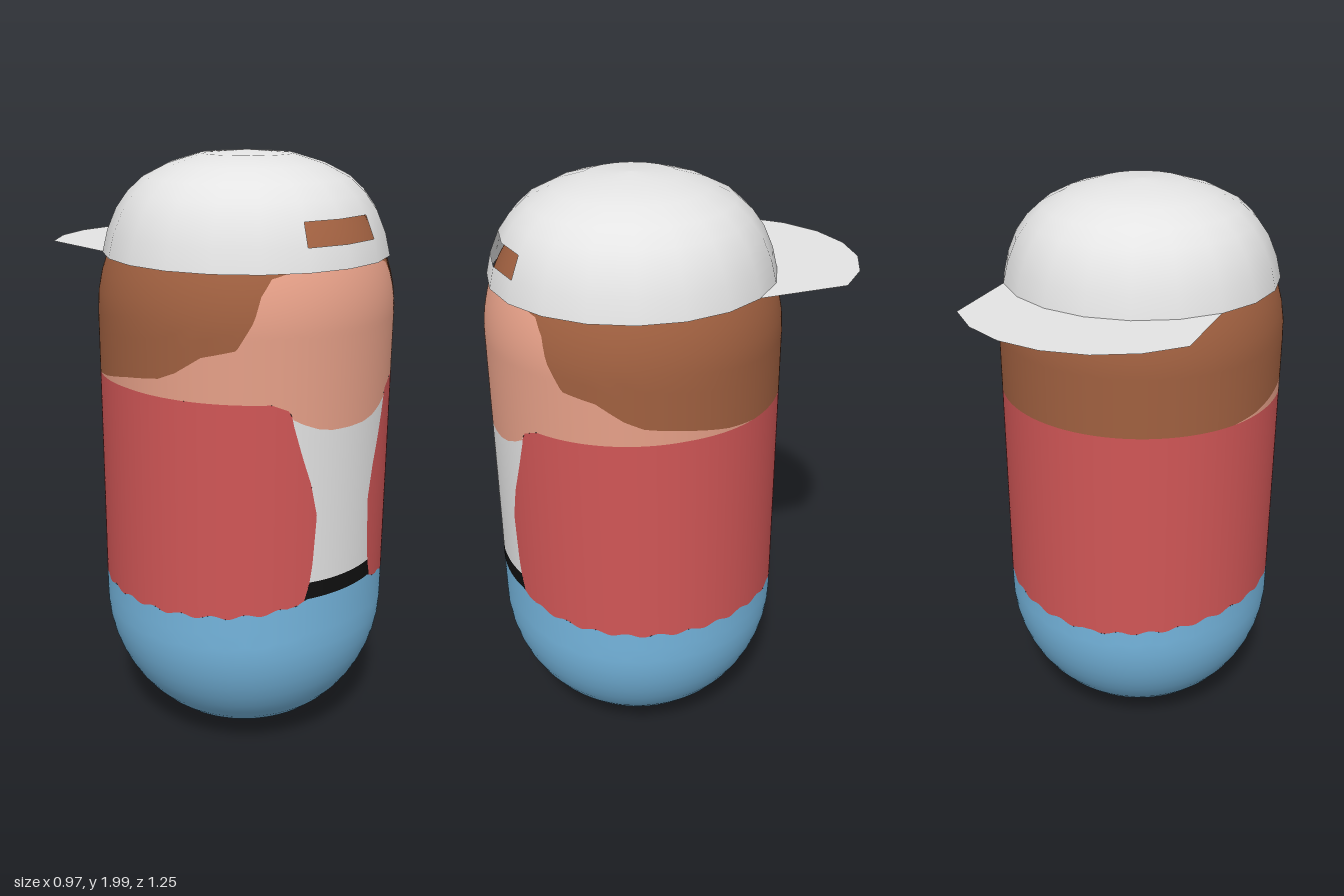
import * as THREE from 'three';

const R = 0.485, LOW = 0.495, HIGH = 1.5, CENTRE_Z = 0.137;
const mat = (name, color, side = THREE.FrontSide) => {
  const m = new THREE.MeshStandardMaterial({ color, side });
  m.name = name;
  return m;
};
const lerp = THREE.MathUtils.lerp;

// Piecewise linear curve through [x, y] points
const curve = (pts) => (x) => {
  if (x <= pts[0][0]) return pts[0][1];
  for (let i = 1; i < pts.length; i++) {
    const [x0, y0] = pts[i - 1], [x1, y1] = pts[i];
    if (x <= x1) return lerp(y0, y1, (x - x0) / (x1 - x0));
  }
  return pts[pts.length - 1][1];
};

// Mirrored height by angle from the front, in degrees
const around = (fn) => (deg) => {
  const d = Math.abs(deg) % 360;
  return fn(d > 180 ? 360 - d : d);
};

// Boundaries between the clothing areas
const hemBase = curve([[0, 0.648], [17, 0.648], [21, 0.63], [31, 0.615], [46, 0.6], [70, 0.588], [120, 0.578], [155, 0.553], [180, 0.54]]);
const hem = around((d) => hemBase(d) + (d > 24 ? 0.006 * Math.sin(d * 0.5) : 0));
const neckline = around(curve([[0, 1.2], [8, 1.202], [14, 1.212], [20, 1.232], [24, 1.25], [25.5, 1.278], [32, 1.3], [90, 1.305], [120, 1.3]]));
const hairline = around(curve([[0, 1.692], [24, 1.685], [32, 1.668], [36, 1.62], [38.5, 1.55], [44.5, 1.465], [57, 1.44], [67, 1.385], [74, 1.36], [90, 1.34], [107, 1.312], [120, 1.3]]));
const opening = curve([[0, 18], [0.08, 16.2], [0.2, 15], [0.5, 13.7], [0.68, 16.5], [0.84, 20.5], [1, 24.5]]);

// Patch of the capsule body; map(u, v) gives [angle in degrees, height]
function patch(name, material, cols, rows, map) {
  const pos = [], nor = [], idx = [];
  for (let j = 0; j <= rows; j++) {
    for (let i = 0; i <= cols; i++) {
      const [deg, y] = map(i / cols, j / rows);
      const a = THREE.MathUtils.degToRad(deg);
      const dy = y - THREE.MathUtils.clamp(y, LOW, HIGH);
      const r = Math.sqrt(Math.max(0, R * R - dy * dy));
      pos.push(r * Math.sin(a), y, r * Math.cos(a) + CENTRE_Z);
      nor.push(r * Math.sin(a) / R, dy / R, r * Math.cos(a) / R);
      if (i < cols && j < rows) {
        const p = j * (cols + 1) + i, q = p + cols + 1;
        idx.push(p, p + 1, q, p + 1, q + 1, q);
      }
    }
  }
  const g = new THREE.BufferGeometry();
  g.setAttribute('position', new THREE.Float32BufferAttribute(pos, 3));
  g.setAttribute('normal', new THREE.Float32BufferAttribute(nor, 3));
  g.setIndex(idx);
  const mesh = new THREE.Mesh(g, material);
  mesh.name = name;
  return mesh;
}

export function createModel() {
  const white = mat('white', 0xe4e4e4, THREE.DoubleSide);
  const red = mat('red', 0xd05656);
  const blue = mat('blue', 0x74b4dc);
  const skin = mat('skin', 0xe6a088);
  const brown = mat('brown', 0xa06040);
  const black = mat('black', 0x101010);
  const model = new THREE.Group();
  model.name = 'capsuleFigure';

  // Capsule body, split into clothing, face and hair
  model.add(patch('trousers', blue, 240, 16, (u, v) => {
    const d = u * 360;
    return [d, lerp(LOW - R, hem(d), 1 - Math.cos(v * Math.PI / 2))];
  }));
  model.add(patch('jacket', red, 240, 32, (u, v) => {
    const d = lerp(opening(v), 360 - opening(v), u);
    return [d, lerp(hem(d), neckline(d), v)];
  }));
  const front = (v0, v1) => (u, t) => {
    const v = lerp(v0, v1, t), d = lerp(-opening(v), opening(v), u);
    return [d, lerp(hem(d), neckline(d), v)];
  };
  model.add(patch('belt', black, 24, 4, front(0, 0.1)));
  model.add(patch('shirt', white, 24, 30, front(0.1, 1)));
  model.add(patch('face', skin, 240, 24, (u, v) => {
    const d = lerp(-120, 120, u);
    return [d, lerp(neckline(d), hairline(d), v)];
  }));
  model.add(patch('hair', brown, 360, 16, (u, v) => {
    const d = u * 360;
    return [d, lerp(hairline(d), HIGH + R, Math.sin(v * Math.PI / 2))];
  }));

  // Cap crown, with a slot left open at the front
  const CAP_R = 0.465, SIDES = 20, SLOT_ROW = 1;
  const profile = [[CAP_R, 1.682], [0.448, 1.752], [0.418, 1.822], [0.38, 1.875], [0.33, 1.92], [0.25, 1.96], [0.15, 1.99], [0, 2]]
    .map(([x, y]) => new THREE.Vector2(x, y));
  const crown = new THREE.LatheGeometry(profile, SIDES);
  const rows = profile.length - 1;
  crown.setIndex(Array.from(crown.index.array).filter((_, k) => {
    const cell = Math.floor(k / 6), col = Math.floor(cell / rows);
    return !(cell % rows === SLOT_ROW && (col === 0 || col === SIDES - 1));
  }));
  const cap = new THREE.Group();
  cap.name = 'cap';
  cap.position.z = CENTRE_Z;
  const crownMesh = new THREE.Mesh(crown, white);
  crownMesh.name = 'capCrown';

  // Flat brim pointing backwards
  const rim = [-54, -36, -18, 0, 18, 36, 54].map((d) => {
    const a = THREE.MathUtils.degToRad(d);
    return new THREE.Vector2(CAP_R * Math.sin(a), CAP_R * Math.cos(a));
  });
  const outer = rim.map((p) => new THREE.Vector2(p.x, p.y + 0.297)).reverse();
  const brim = new THREE.Mesh(new THREE.ShapeGeometry(new THREE.Shape([...rim, ...outer])), white);
  brim.name = 'capBrim';
  brim.rotation.x = -Math.PI / 2;
  brim.position.y = 1.683;
  cap.add(crownMesh, brim);
  model.add(cap);
  return model;
}
